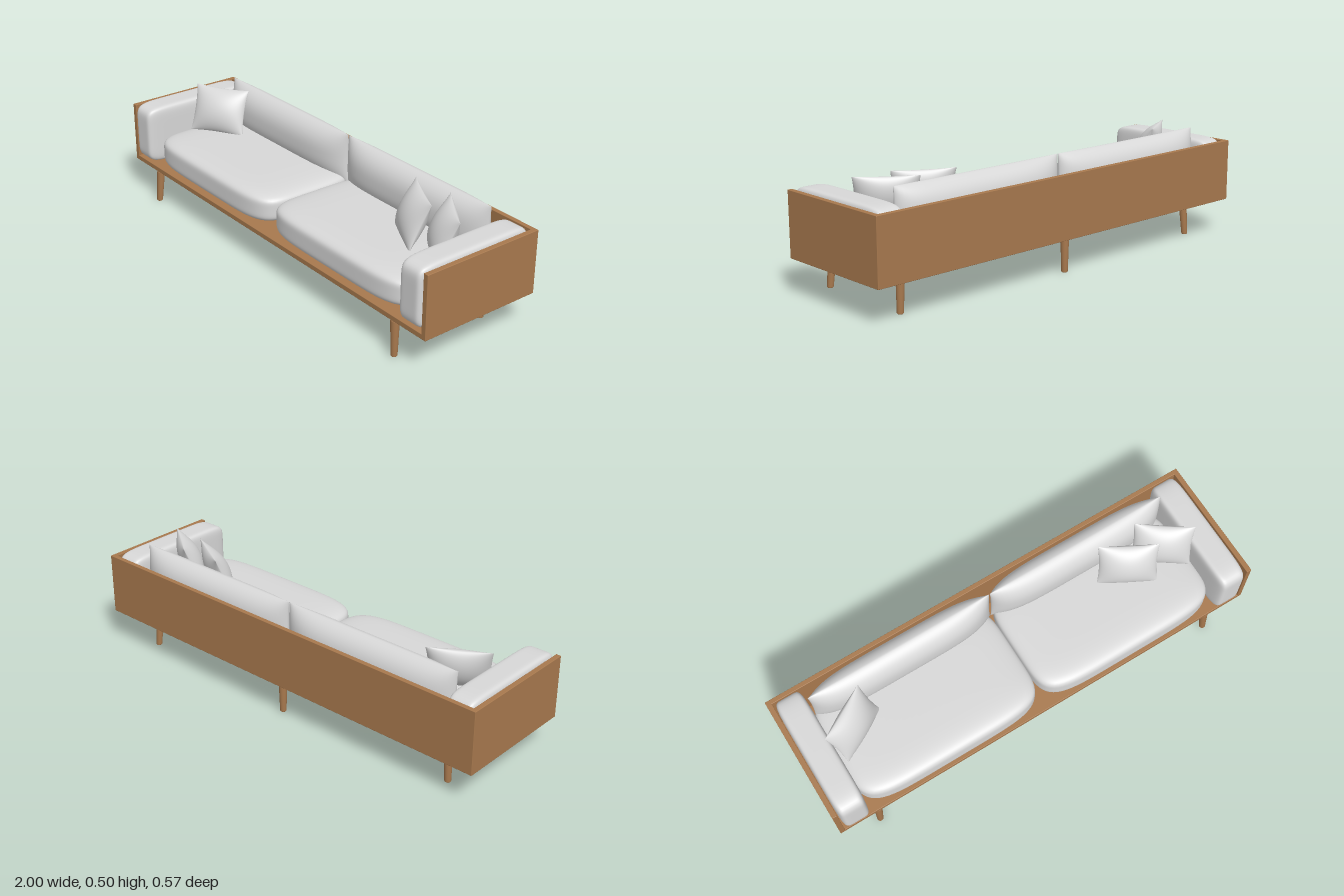
import * as THREE from 'three';
import { mergeGeometries, mergeVertices } from 'three/addons/utils/BufferGeometryUtils.js';
import { RoundedBoxGeometry } from 'three/addons/geometries/RoundedBoxGeometry.js';

// Weld shared vertices so the normals run smoothly over the whole surface
function weld(geometry) {
  geometry.deleteAttribute('uv');
  geometry.deleteAttribute('normal');
  const welded = mergeVertices(geometry, 1e-5);
  welded.computeVertexNormals();
  return welded;
}

// Upholstered block: a cube pushed onto a superellipsoid, higher power = squarer
function blockCushion(w, h, d, power) {
  const geo = new THREE.BoxGeometry(2, 2, 2, 28, 28, 28);
  const pos = geo.attributes.position;
  const v = new THREE.Vector3();
  for (let i = 0; i < pos.count; i++) {
    v.fromBufferAttribute(pos, i);
    const sum = Math.abs(v.x) ** power + Math.abs(v.y) ** power + Math.abs(v.z) ** power;
    v.multiplyScalar(sum ** (-1 / power));
    pos.setXYZ(i, v.x * w / 2, v.y * h / 2, v.z * d / 2);
  }
  return weld(geo);
}

// Knife-edged cushion: two bulged sheets joined at a seam; pinch pulls the edges in
function seamCushion(w, h, depth, powU, powV, pinch) {
  const sheets = [1, -1].map((side) => {
    const geo = new THREE.PlaneGeometry(2, 2, 32, 32);
    if (side < 0) geo.rotateY(Math.PI);
    const pos = geo.attributes.position;
    for (let i = 0; i < pos.count; i++) {
      // Crowd the grid toward the seam, where the curvature is greatest
      const u = Math.sin(pos.getX(i) * Math.PI / 2);
      const v = Math.sin(pos.getY(i) * Math.PI / 2);
      const puff = Math.max(0, (1 - Math.abs(u) ** powU) * (1 - Math.abs(v) ** powV));
      pos.setXYZ(i,
        u * w / 2 * (1 - pinch * (1 - v * v)),
        v * h / 2 * (1 - pinch * (1 - u * u)),
        side * depth / 2 * puff ** 0.65);
    }
    return geo;
  });
  return weld(mergeGeometries(sheets));
}

export function createModel() {
  const wood = new THREE.MeshStandardMaterial({ color: 0xa8794e });
  wood.name = 'wood';
  const fabric = new THREE.MeshStandardMaterial({ color: 0xd8d8d8 });
  fabric.name = 'fabric';

  const sofa = new THREE.Group();
  sofa.name = 'sofa';
  const add = (name, geometry, material, x, y, z) => {
    const mesh = new THREE.Mesh(geometry, material);
    mesh.name = name;
    mesh.position.set(x, y, z);
    sofa.add(mesh);
    return mesh;
  };
  const panel = (name, w, h, d, x, y, z) =>
    add(name, new RoundedBoxGeometry(w, h, d, 2, 0.002), wood, x, y, z);

  // Wooden tray: base, back and two sides
  panel('base', 2, 0.022, 0.558, 0, 0.164, -0.006);
  panel('backPanel', 2, 0.274, 0.02, 0, 0.29, -0.275);
  for (const s of [1, -1]) {
    panel(s > 0 ? 'leftSidePanel' : 'rightSidePanel', 0.022, 0.274, 0.558, s * 0.989, 0.29, -0.006);
  }

  // Tapered legs, leaning outward by (dx, dz) from top to foot
  const legProfile = [[0, 0], [0.011, 0], [0.0135, 0.003], [0.018, 0.146], [0.016, 0.154], [0, 0.154]]
    .map(([r, y]) => new THREE.Vector2(r, y));
  const leg = (name, x, z, dx, dz) => {
    const geo = new THREE.LatheGeometry(legProfile, 24);
    const pos = geo.attributes.position;
    for (let i = 0; i < pos.count; i++) {
      const t = 1 - pos.getY(i) / 0.154;
      pos.setX(i, pos.getX(i) + dx * t);
      pos.setZ(i, pos.getZ(i) + dz * t);
    }
    add(name, geo, wood, x, 0, z);
  };
  for (const s of [1, -1]) {
    const side = s > 0 ? 'Left' : 'Right';
    leg('front' + side + 'Leg', s * 0.816, 0.255, s * 0.01, 0.009);
    leg('back' + side + 'Leg', s * 0.816, -0.177, s * 0.01, -0.008);
  }
  leg('backCentreLeg', 0, -0.23, 0, 0);

  // Seat, back and arm cushions, mirrored left and right
  for (const s of [1, -1]) {
    const side = s > 0 ? 'left' : 'right';
    add(side + 'SeatCushion', blockCushion(0.86, 0.14, 0.525, 5.5), fabric, s * 0.431, 0.246, 0.004);
    add(side + 'BackCushion', seamCushion(0.845, 0.235, 0.142, 5, 2.6, 0.012), fabric, s * 0.424, 0.376, -0.186);
    add(side + 'ArmCushion', blockCushion(0.124, 0.265, 0.552, 8), fabric, s * 0.913, 0.308, 0.006);
  }

  // Throw pillows: turned toward the middle and leaning back
  const pillows = [
    ['rightThrowPillow', -0.74, 0.53],
    ['leftInnerThrowPillow', 0.583, -0.5],
    ['leftOuterThrowPillow', 0.757, -0.62],
  ];
  for (const [name, x, yaw] of pillows) {
    const pillow = add(name, seamCushion(0.258, 0.212, 0.1, 2, 2, 0.06), fabric, x, 0.404, -0.028);
    pillow.rotation.set(-0.4, yaw, 0, 'YXZ');
  }
  return sofa;
}
